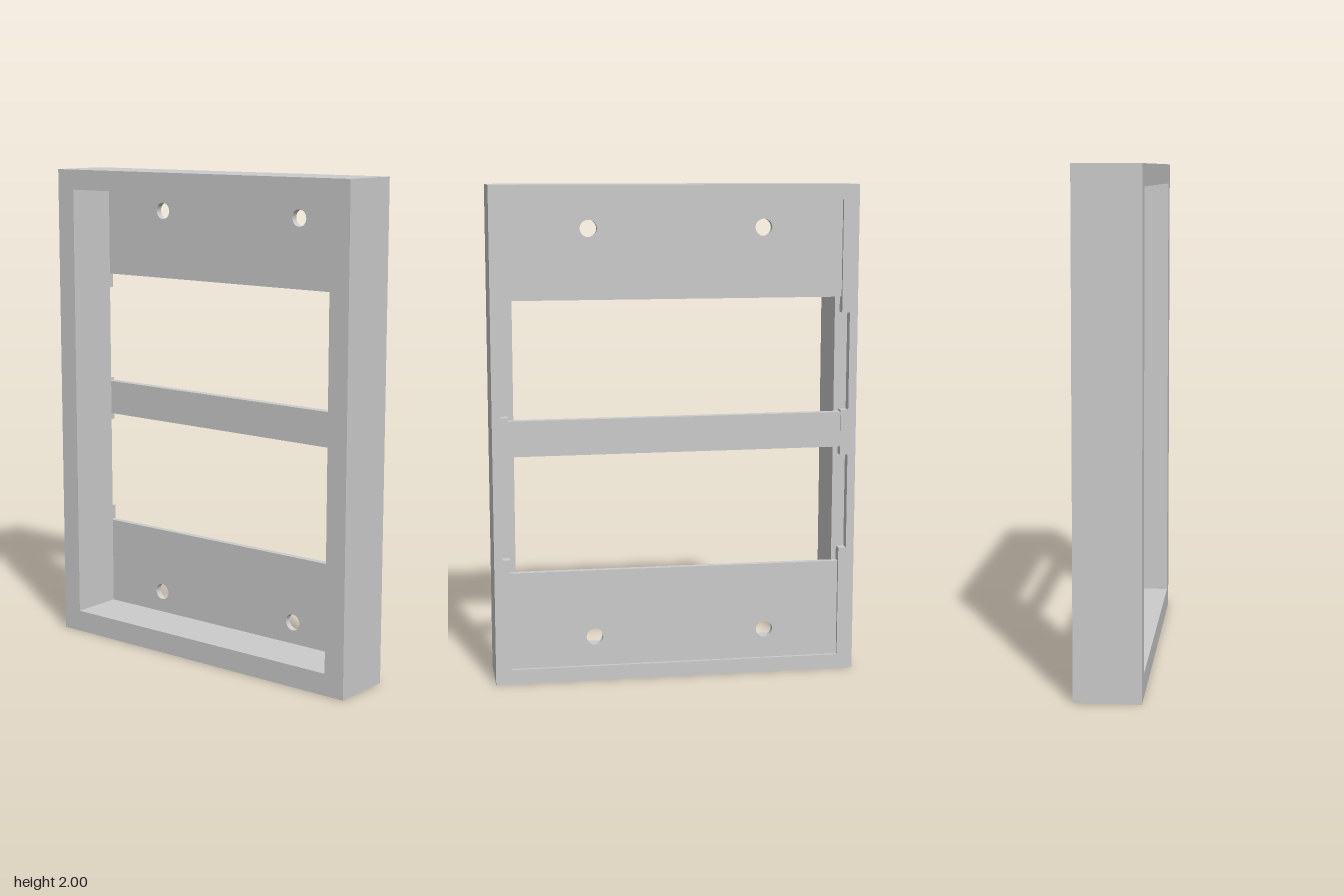
import * as THREE from 'three';

const W = 0.74, Z_BACK = -0.13, Z_LEDGE = -0.09, Z_FRONT = 0.13;

const polygon = (points, Type = THREE.Shape) => {
  const p = new Type();
  points.forEach(([x, y], i) => (i ? p.lineTo(x, y) : p.moveTo(x, y)));
  p.closePath();
  return p;
};
const rect = (x0, x1, y0, y1) => [[x0, y0], [x1, y0], [x1, y1], [x0, y1]];

export function createModel() {
  const group = new THREE.Group();
  const material = new THREE.MeshStandardMaterial({ color: 0xcccccc, flatShading: true });

  // Extrude a shape with holes between two z planes
  const slab = (name, outline, holes, z0, z1) => {
    const shape = polygon(outline);
    shape.holes.push(...holes);
    const geometry = new THREE.ExtrudeGeometry(shape, { depth: z1 - z0, bevelEnabled: false, curveSegments: 16 });
    geometry.translate(0, 0, z0);
    const mesh = new THREE.Mesh(geometry, material);
    mesh.name = name;
    group.add(mesh);
    return mesh;
  };
  const round = (x, y) => {
    const p = new THREE.Path();
    p.absarc(x, y, 0.034, 0, Math.PI * 2);
    return p;
  };

  // Deep outer frame
  const outer = rect(-W, W, 0, 2);
  slab('frame', outer, [polygon(rect(-0.655, 0.652, 0.09, 1.917), THREE.Path)], Z_LEDGE, Z_FRONT);

  // Rear rim: shallow recess with two finger notches on each side
  const r = 0.675, n = 0.707;
  const side = [[r, 0.06], [r, 0.515], [n, 0.515], [n, 0.905], [r, 0.905],
    [r, 1.09], [n, 1.09], [n, 1.487], [r, 1.487], [r, 1.938]];
  const recess = [...side, ...side.map(([x, y]) => [-x, y]).reverse()];
  slab('rearRim', outer, [polygon(recess, THREE.Path)], Z_BACK, Z_LEDGE);

  // Mounting plates seated in the recess, each with two screw holes
  slab('upperPlate', rect(-r, r, 1.55, 1.938), [round(-0.352, 1.83), round(0.35, 1.83)], -0.117, Z_LEDGE);
  slab('lowerPlate', rect(-r, r, 0.457, 0.06).reverse(), [round(-0.367, 0.18), round(0.336, 0.18)], -0.117, Z_LEDGE);

  // Very slightly tilted cross bar
  slab('crossBar', [[-r, 0.938], [r, 0.932], [r, 1.075], [-r, 1.081]], [], -0.126, Z_LEDGE);

  return group;
}
